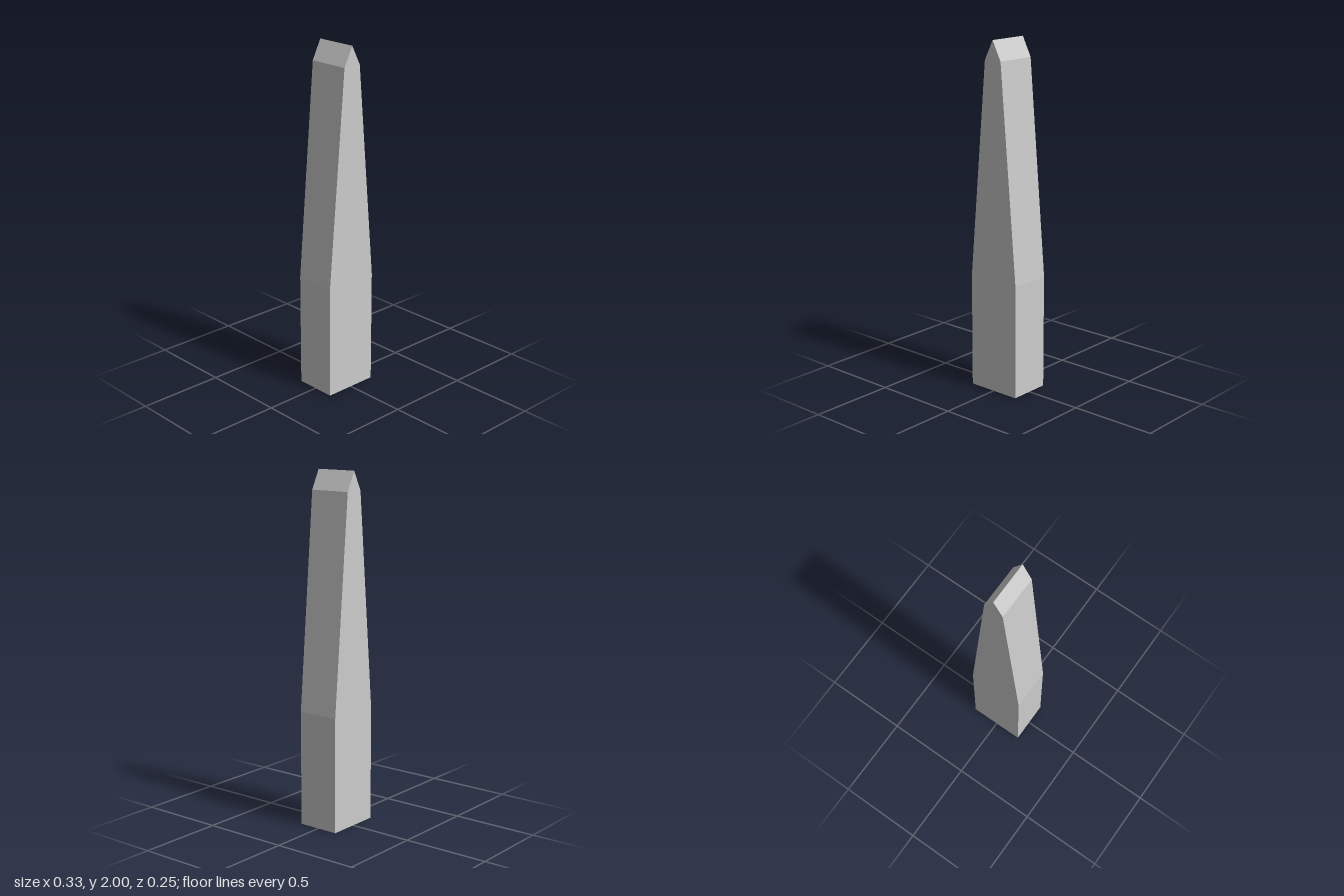
import * as THREE from 'three';

export function createModel() {
  const group = new THREE.Group();
  group.name = 'taperedPost';

  // Half outline from base to ridge, mirrored across x = 0
  const half = [[0.163, 0], [0.163, 0.66], [0.056, 1.89]];
  const outline = [
    ...half.map(([x, y]) => new THREE.Vector2(x, y)),
    new THREE.Vector2(0, 2),
    ...half.map(([x, y]) => new THREE.Vector2(-x, y)).reverse(),
  ];

  // Straight extrusion, centred front to back
  const depth = 0.246;
  const geometry = new THREE.ExtrudeGeometry(new THREE.Shape(outline), { depth, bevelEnabled: false });
  geometry.translate(0, 0, -depth / 2);

  const material = new THREE.MeshStandardMaterial({ color: 0xcccccc, flatShading: true });
  const post = new THREE.Mesh(geometry, material);
  post.name = 'post';
  group.add(post);
  return group;
}
